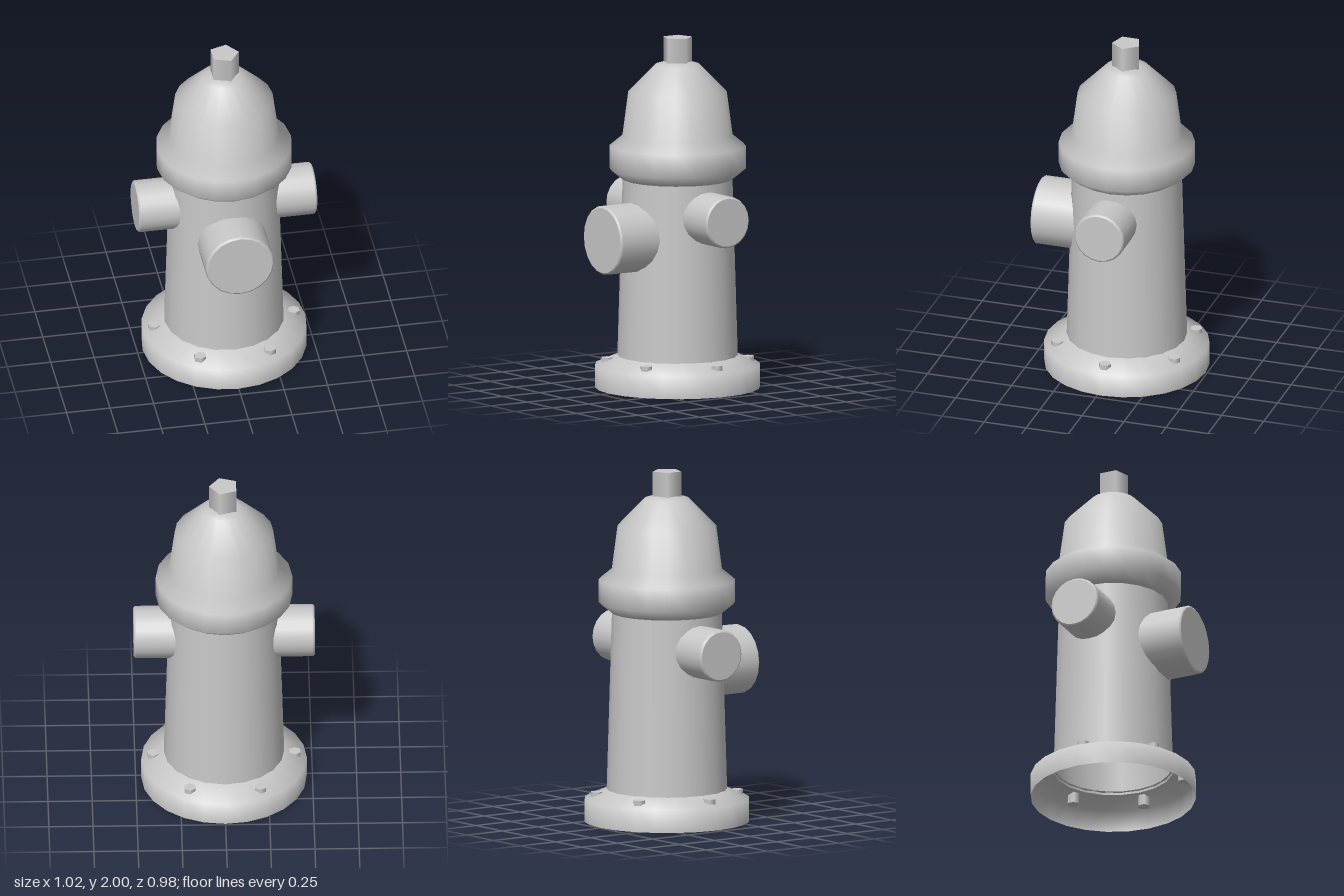
import * as THREE from 'three';

const AXIS_Z = -0.023; // the barrel sits slightly behind the centre

export function createModel() {
  const grey = new THREE.MeshStandardMaterial({ color: 0xc8c8c8, side: THREE.DoubleSide });
  grey.name = 'grey';
  const hydrant = new THREE.Group();
  hydrant.name = 'hydrant';

  const add = (name, geometry, x = 0, y = 0, z = AXIS_Z) => {
    const mesh = new THREE.Mesh(geometry, grey);
    mesh.name = name;
    mesh.position.set(x, y, z);
    hydrant.add(mesh);
    return mesh;
  };
  const lathe = (profile, sides) =>
    new THREE.LatheGeometry(profile.map(([r, y]) => new THREE.Vector2(r, y)), sides);

  // Hollow foot flange, open underneath
  add('baseFlange', lathe([[0.468, 0], [0.468, 0.13], [0.33, 0.187]], 24));

  // Tapered barrel
  add('barrel', lathe([[0.341, 0.17], [0.31, 1.22]], 20));

  // Collar and bonnet
  add('bonnet', lathe([
    [0.3, 1.185], [0.325, 1.2], [0.386, 1.25], [0.386, 1.38], [0.312, 1.44],
    [0.279, 1.69], [0.127, 1.845], [0.075, 1.86], [0, 1.862],
  ], 20));

  // Five-sided operating nut, one corner towards +x
  const nut = add('topNut', new THREE.CylinderGeometry(0.085, 0.085, 0.16, 5), 0, 1.92);
  nut.rotation.y = Math.PI / 2;

  // Outlets: capped cylinders with a narrow rounded rim, grown along +y
  const outlet = (r, inner, outer) => {
    const group = new THREE.Group();
    const side = new THREE.Mesh(lathe([
      [r, inner], [r, outer - 0.014], [r - 0.003, outer - 0.005], [r - 0.011, outer],
    ], 20), grey);
    side.name = 'outletSide';
    const cap = new THREE.Mesh(new THREE.CircleGeometry(r - 0.011, 20), grey);
    cap.name = 'outletCap';
    cap.rotation.x = -Math.PI / 2;
    cap.position.y = outer;
    group.add(side, cap);
    hydrant.add(group);
    return group;
  };
  for (const s of [1, -1]) {
    const sideOutlet = outlet(0.148, 0.2, 0.512);
    sideOutlet.name = s > 0 ? 'leftOutlet' : 'rightOutlet';
    sideOutlet.position.set(0, 1.003, AXIS_Z);
    sideOutlet.rotation.z = -s * Math.PI / 2;
  }
  const frontOutlet = outlet(0.197, 0.18, 0.49);
  frontOutlet.name = 'frontOutlet';
  frontOutlet.position.set(0, 0.88, 0);
  frontOutlet.rotation.x = Math.PI / 2;

  // Six hexagonal flange bolts
  for (let i = 0; i < 6; i++) {
    const a = i * Math.PI / 3;
    const bolt = new THREE.CylinderGeometry(0.036, 0.036, 0.065, 6);
    add('flangeBolt' + (i + 1), bolt, 0.4 * Math.cos(a), 0.14, AXIS_Z + 0.4 * Math.sin(a));
  }
  return hydrant;
}
